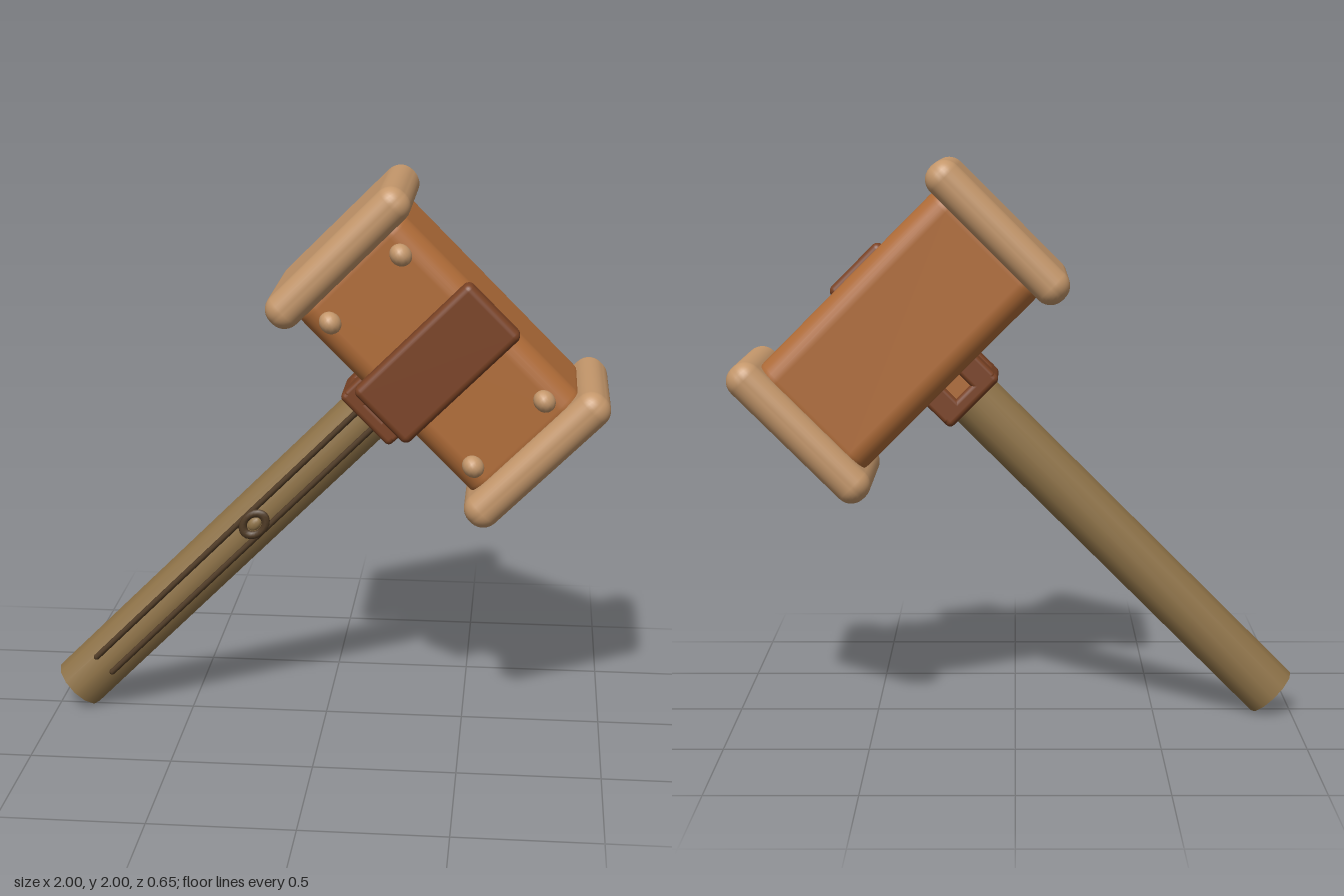
import * as THREE from 'three';
import { RoundedBoxGeometry } from 'three/addons/geometries/RoundedBoxGeometry.js';

const mat = (color) => new THREE.MeshStandardMaterial({ color });

export function createModel() {
  const model = new THREE.Group();
  model.name = 'mallet';
  const paleWood = mat(0xc4976b), headWood = mat(0xb06c38), handleWood = mat(0x8f7348);
  const strapBrown = mat(0x7a4224), darkWood = mat(0x4f3a24);

  // Upright mallet: handle along y, head along x; tilted as a whole at the end
  const mallet = new THREE.Group();
  mallet.name = 'tiltedMallet';
  model.add(mallet);

  const add = (name, geometry, material, x, y, z) => {
    const mesh = new THREE.Mesh(geometry, material);
    mesh.name = name;
    mesh.position.set(x, y, z);
    mallet.add(mesh);
    return mesh;
  };
  const box = (name, material, w, h, d, r, x, y, z) =>
    add(name, new RoundedBoxGeometry(w, h, d, 4, r), material, x, y, z);

  const headY = 1.283;

  // Handle
  const bottom = -0.605, top = 1.1;
  add('handle', new THREE.CylinderGeometry(0.1, 0.1, top - bottom, 12), handleWood, 0, (top + bottom) / 2, 0);

  // Dark grain lines and oval knot on the front of the handle
  for (const s of [-1, 1]) {
    add('grainLine', new THREE.CapsuleGeometry(0.011, 1.4, 4, 8), darkWood, s * 0.04, 0.257, 0.092);
  }
  const knot = add('knot', new THREE.TorusGeometry(0.036, 0.013, 8, 20), darkWood, 0, 0.354, 0.102);
  knot.scale.set(1, 1.3, 1);
  const knotCore = add('knotCore', new THREE.SphereGeometry(0.022, 12, 8), handleWood, 0, 0.354, 0.097);
  knotCore.scale.set(1, 1.3, 0.6);

  // Head block
  box('headBlock', headWood, 0.98, 0.51, 0.51, 0.08, 0, headY, 0);

  // Striking plates and front rivets
  for (const s of [-1, 1]) {
    box('strikingPlate', paleWood, 0.13, 0.64, 0.625, 0.06, s * 0.488, headY, 0);
    for (const t of [-1, 1]) {
      const rivet = add('rivet', new THREE.SphereGeometry(0.041, 16, 12), paleWood, s * 0.349, headY + t * 0.168, 0.286);
      rivet.scale.y = 0.88;
    }
  }

  // Front strap over the head
  box('strap', strapBrown, 0.262, 0.552, 0.08, 0.025, 0, headY, 0.3);

  // Square collar under the head, with a tooth at each corner
  box('collar', strapBrown, 0.25, 0.06, 0.25, 0.02, 0, 0.94, 0);
  box('collarCore', headWood, 0.21, 0.1, 0.21, 0.015, 0, 0.99, 0);
  for (const x of [-1, 1]) for (const z of [-1, 1]) {
    box('collarTooth', strapBrown, 0.09, 0.11, 0.09, 0.015, x * 0.08, 0.985, z * 0.08);
  }

  // Lean the mallet 45 degrees and stand the handle end on the ground
  mallet.rotation.z = -Math.PI / 4;
  mallet.position.set(-0.711 * Math.SQRT1_2, 0.711 * Math.SQRT1_2, -0.015);
  return model;
}
